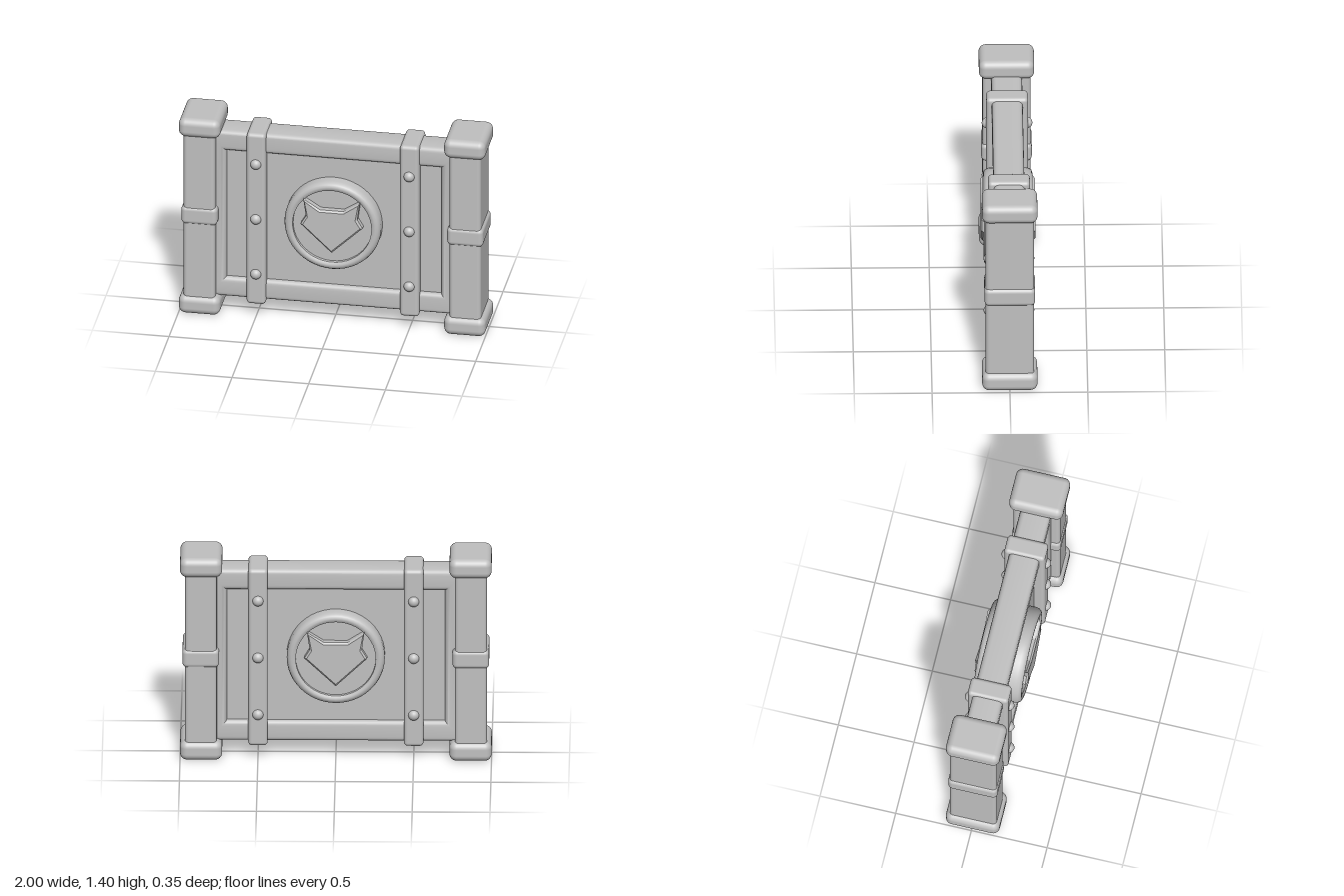
import * as THREE from 'three';
import { RoundedBoxGeometry } from 'three/addons/geometries/RoundedBoxGeometry.js';
import { toCreasedNormals } from 'three/addons/utils/BufferGeometryUtils.js';

const MID = 0.705; // height of the middle line

export function createModel() {
  const model = new THREE.Group();
  model.name = 'barrierPanel';
  const grey = new THREE.MeshStandardMaterial({ color: 0xc0c0c0 });
  grey.name = 'plainGrey';

  const add = (parent, name, geometry, x = 0, y = 0, z = 0) => {
    const mesh = new THREE.Mesh(geometry, grey);
    mesh.name = name;
    mesh.position.set(x, y, z);
    parent.add(mesh);
    return mesh;
  };
  const block = (parent, name, w, h, d, r, x, y) =>
    add(parent, name, new RoundedBoxGeometry(w, h, d, 4, r), x, y);
  const rectangle = (Path, x, y0, y1) => new Path(
    [[-x, y0], [x, y0], [x, y1], [-x, y1]].map(p => new THREE.Vector2(...p)));

  // Recessed panel and the rounded frame round it
  add(model, 'panel', new THREE.BoxGeometry(1.52, 1.0, 0.13), 0, MID, 0);
  const bevel = 0.035;
  const outline = rectangle(THREE.Shape, 0.84 - bevel, 0.11 + bevel, 1.3 - bevel);
  outline.holes.push(rectangle(THREE.Path, 0.7 + bevel, 0.25 - bevel, 1.16 + bevel));
  const frame = new THREE.ExtrudeGeometry(outline, {
    depth: 0.2 - 2 * bevel, bevelEnabled: true,
    bevelThickness: bevel, bevelSize: bevel, bevelSegments: 4,
  });
  frame.translate(0, 0, bevel - 0.1);
  add(model, 'frame', toCreasedNormals(frame, 0.7));

  // Posts with end caps and a band, and the riveted straps
  for (const side of [-1, 1]) {
    const label = side > 0 ? 'left' : 'right';
    const post = new THREE.Group();
    post.name = label + 'Post';
    model.add(post);
    block(post, 'shaft', 0.205, 1.25, 0.31, 0.025, side * 0.867, 0.7);
    block(post, 'foot', 0.27, 0.13, 0.355, 0.045, side * 0.865, 0.065);
    block(post, 'cap', 0.27, 0.13, 0.355, 0.045, side * 0.865, 1.335);
    block(post, 'band', 0.235, 0.128, 0.325, 0.03, side * 0.867, MID);

    const strap = new THREE.Group();
    strap.name = label + 'Strap';
    model.add(strap);
    block(strap, 'strapBar', 0.125, 1.225, 0.268, 0.025, side * 0.5, 0.703);
    for (const y of [0.31, MID, 1.1])
      for (const z of [-0.127, 0.127])
        add(strap, 'rivet', new THREE.SphereGeometry(0.036, 20, 14), side * 0.5, y, z);
  }

  // Round medallion: raised rim with a sunken floor
  const profile = [[0.315, 0.05], [0.315, 0.118], [0.309, 0.138], [0.299, 0.151], [0.285, 0.157],
    [0.272, 0.157], [0.257, 0.147], [0.257, 0.125], [0, 0.125]].map(p => new THREE.Vector2(...p));
  const rim = toCreasedNormals(new THREE.LatheGeometry(profile, 48).rotateX(Math.PI / 2), 0.6);

  // Eared shield with chamfered sides
  const half = [[0, 0.54], [0.187, 0.718], [0.155, 0.772], [0.175, 0.882], [0.08, 0.815]];
  const points = [...half, ...half.slice(1).reverse().map(([x, y]) => [-x, y])];
  const crest = new THREE.ExtrudeGeometry(
    new THREE.Shape(points.map(([x, y]) => new THREE.Vector2(x, y - MID))),
    { depth: 0.05, bevelEnabled: true, bevelThickness: 0.012, bevelSize: 0.012, bevelSegments: 1 });
  crest.translate(0, 0, 0.113);

  // The same medallion on the front and on the back
  for (const [label, turn] of [['front', 0], ['back', Math.PI]]) {
    const medallion = new THREE.Group();
    medallion.name = label + 'Medallion';
    medallion.position.y = MID;
    medallion.rotation.y = turn;
    model.add(medallion);
    add(medallion, 'rim', rim);
    add(medallion, 'shield', crest);
  }
  return model;
}
